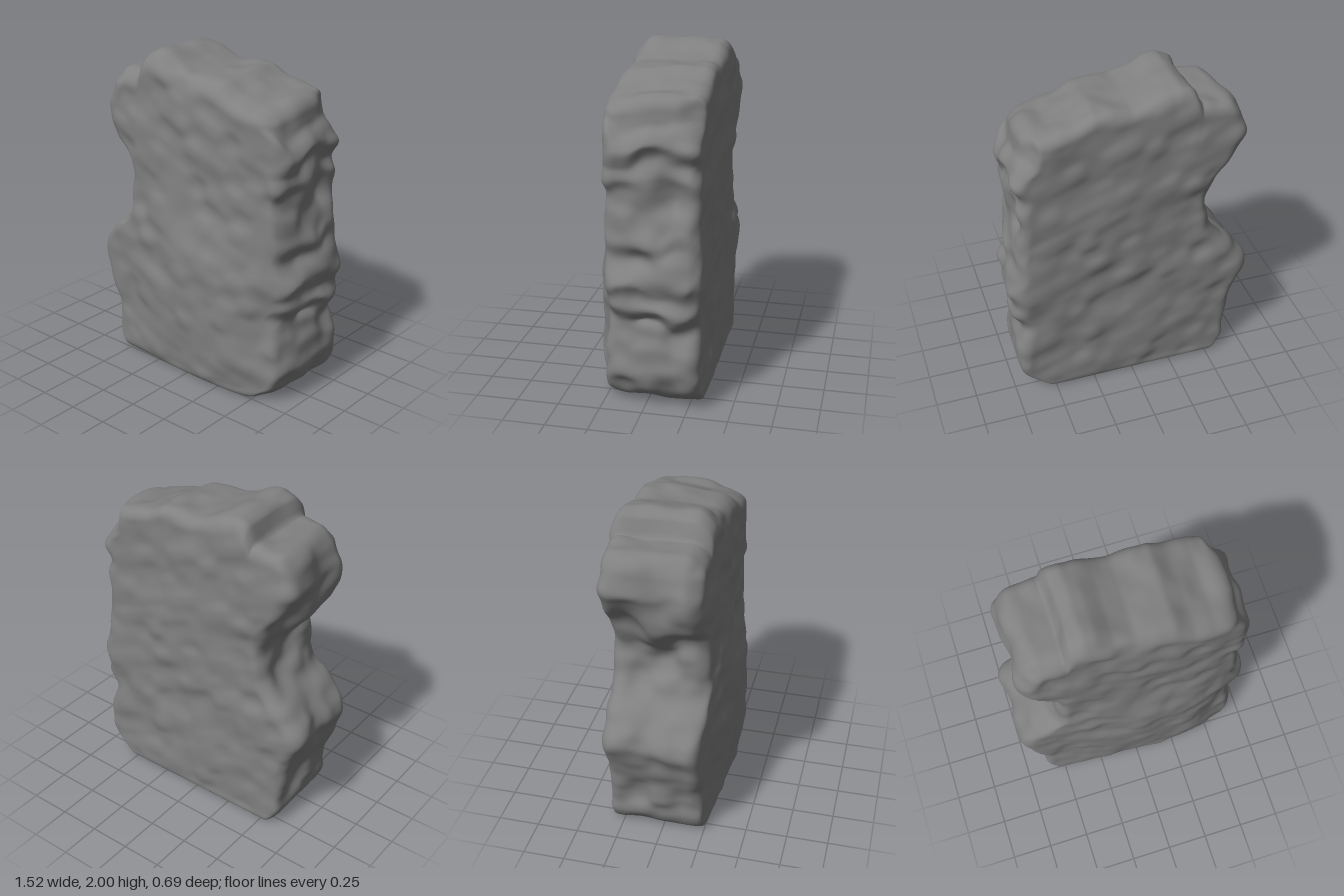
import * as THREE from 'three';
import { mergeVertices } from 'three/addons/utils/BufferGeometryUtils.js';

const { smoothstep } = THREE.MathUtils;

// Outline points: [height, x] for the two ends, [x, height] for the top
const LEFT = [[0, -.55], [.06, -.61], [.12, -.65], [.2, -.645], [.36, -.655], [.45, -.69], [.55, -.725], [.66, -.77],
  [.74, -.74], [.8, -.68], [.88, -.63], [.95, -.57], [1.05, -.51], [1.18, -.475], [1.28, -.5], [1.38, -.57],
  [1.46, -.63], [1.6, -.67], [1.71, -.7], [1.8, -.67], [1.9, -.65]];
const RIGHT = [[0, .55], [.05, .63], [.1, .7], [.2, .745], [.35, .74], [.45, .715], [.53, .69], [.62, .755], [.7, .74],
  [.78, .785], [.88, .745], [.95, .72], [1.03, .735], [1.1, .71], [1.3, .69], [1.4, .705], [1.5, .67], [1.6, .715],
  [1.68, .68], [1.73, .635], [1.9, .625]];
const TOP = [[-.68, 1.83], [-.55, 1.855], [-.4, 1.86], [-.385, 1.87], [-.37, 1.95], [-.34, 1.975], [-.28, 1.995],
  [-.21, 1.98], [-.12, 1.935], [0, 1.905], [.12, 1.915], [.22, 1.91], [.32, 1.865], [.45, 1.825], [.6, 1.815]];
// Belly of the front face: [height, strength] and [x, depth]
const BULGE = [[0, .45], [.08, .7], [.2, .8], [.4, .9], [.6, 1], [.8, 1], [.95, .75], [1.1, .4], [1.3, .3], [1.6, .25],
  [2, .1]];
const BELLY = [[-.7, 0], [-.4, .03], [-.2, .065], [0, .092], [.3, .092], [.42, .075], [.6, 0], [.75, -.03]];
// Hollows in the ends: side, height, z, height radius, z radius, depth
const DENTS = [[1, 1.24, -.17, .09, .09, .06], [1, .9, .04, .1, .08, .04], [1, .72, -.1, .06, .1, .03],
  [1, .55, .03, .035, .2, .02], [1, 1.72, -.3, .12, .1, .06], [-1, .68, -.03, .16, .09, .035],
  [-1, .92, .24, .09, .12, .05], [-1, 1.62, .02, .12, .1, .03], [-1, 1.72, .26, .14, .08, .04],
  [-1, 1.0, -.15, .1, .08, .03], [-1, .3, .05, .08, .12, .02]];

function lookup(points, t) {
  if (t <= points[0][0]) return points[0][1];
  for (let i = 1; i < points.length; i++) {
    const [a, p] = points[i - 1], [b, q] = points[i];
    if (t <= b) return p + (q - p) * (t - a) / (b - a);
  }
  return points[points.length - 1][1];
}

// Rounds off the corners of a point list
function smooth(points, t, w) {
  return (lookup(points, t - w) + 2 * lookup(points, t) + lookup(points, t + w)) / 4;
}

function hash(x, y, z) {
  const s = Math.sin(x * 127.1 + y * 311.7 + z * 74.7) * 43758.5453;
  return s - Math.floor(s);
}

// Smooth value noise from -1 to 1
function noise(x, y, z) {
  const ix = Math.floor(x), iy = Math.floor(y), iz = Math.floor(z);
  const f = t => t * t * t * (t * (6 * t - 15) + 10);
  const u = f(x - ix), v = f(y - iy), w = f(z - iz);
  let sum = 0;
  for (let i = 0; i < 8; i++) {
    const a = i & 1, b = (i >> 1) & 1, c = i >> 2;
    sum += hash(ix + a, iy + b, iz + c) * (a ? u : 1 - u) * (b ? v : 1 - v) * (c ? w : 1 - w);
  }
  return sum * 2 - 1;
}

function stoneGeometry() {
  const half = new THREE.Vector3(.65, 1, .3);
  let geo = new THREE.BoxGeometry(1.3, 2, .6, 76, 110, 36);
  geo.deleteAttribute('uv');
  geo.deleteAttribute('normal');
  geo = mergeVertices(geo);
  const pos = geo.attributes.position;
  const p = new THREE.Vector3(), core = new THREE.Vector3(), inner = new THREE.Vector3();

  // Round the block, crisp at the base and softest at the upper front, then bend it to the outlines
  for (let i = 0; i < pos.count; i++) {
    p.fromBufferAttribute(pos, i);
    const r = .035 + .045 * smoothstep(p.y, -1, -.7) + .05 * smoothstep(p.y, .5, 1) * smoothstep(p.z, -.2, .3);
    inner.copy(half).subScalar(r);
    core.copy(p).clamp(inner.clone().negate(), inner);
    p.sub(core).setLength(r).add(core);
    const u = p.x / half.x, v = (p.y + 1) / 2;
    const y0 = v * 1.9;
    // The ledges on the ends wander up and down across the thickness
    const drift = y0 + .06 * smoothstep(y0, 0, .3) * noise(7 + u, y0 * 4, p.z * 6 + 2);
    const l = smooth(LEFT, drift, .025), rt = smooth(RIGHT, drift, .025);
    let x = (l + rt) / 2 + u * (rt - l) / 2;
    // The right half of the top tips towards the front
    const tip = .035 * smoothstep(p.z, -.1, .28) * smoothstep(x, -.1, .25);
    const y = v * (1.9 + (smooth(TOP, x, .006) - tip - 1.9) * v ** 4);
    const front = .242 + smooth(BELLY, x, .06) * smooth(BULGE, y, .05);
    const back = -.327;
    const z = (front + back) / 2 + (p.z / half.z) * (front - back) / 2;
    for (const [side, dy, dz, ry, rz, depth] of DENTS) {
      const k = Math.max(0, side * u) ** 6;
      x -= side * k * depth * Math.exp(-(((y - dy) / ry) ** 2) - ((z - dz) / rz) ** 2);
    }
    // The right end swells in the middle of its thickness
    x -= Math.max(0, u) ** 6 * .035 * ((z + .1) / .25) ** 2 * (1 - smoothstep(y, 1.1, 1.6));
    x -= Math.sign(u) * Math.abs(u) ** 8 * .016 * (1 + noise(u * 3, y * 7, z * 7 + 4));
    pos.setXYZ(i, x, y, z);
  }

  // Weathered surface: broad lumps and smaller slanting ripples
  geo.computeVertexNormals();
  const nor = geo.attributes.normal, n = new THREE.Vector3();
  for (let i = 0; i < pos.count; i++) {
    p.fromBufferAttribute(pos, i);
    n.fromBufferAttribute(nor, i);
    const lumps = noise(p.x * 5 + 3, p.y * 6 + p.x + 8, p.z * 6 + 5);
    const ripples = noise(p.x * 8 - p.y * 3 + 11, p.y * 10 + p.x * 4, p.z * 8 + 20);
    const fade = smoothstep(p.y, 0, .06);
    p.addScaledVector(n, fade * (.011 * lumps + .012 * ripples));
    pos.setXYZ(i, p.x, Math.max(0, p.y), p.z);
  }
  geo.computeVertexNormals();
  return geo;
}

export function createModel() {
  const group = new THREE.Group();
  group.name = 'standingStone';
  const stone = new THREE.Mesh(stoneGeometry(), new THREE.MeshStandardMaterial({ color: 0x808080 }));
  stone.name = 'weatheredSlab';
  group.add(stone);
  return group;
}
